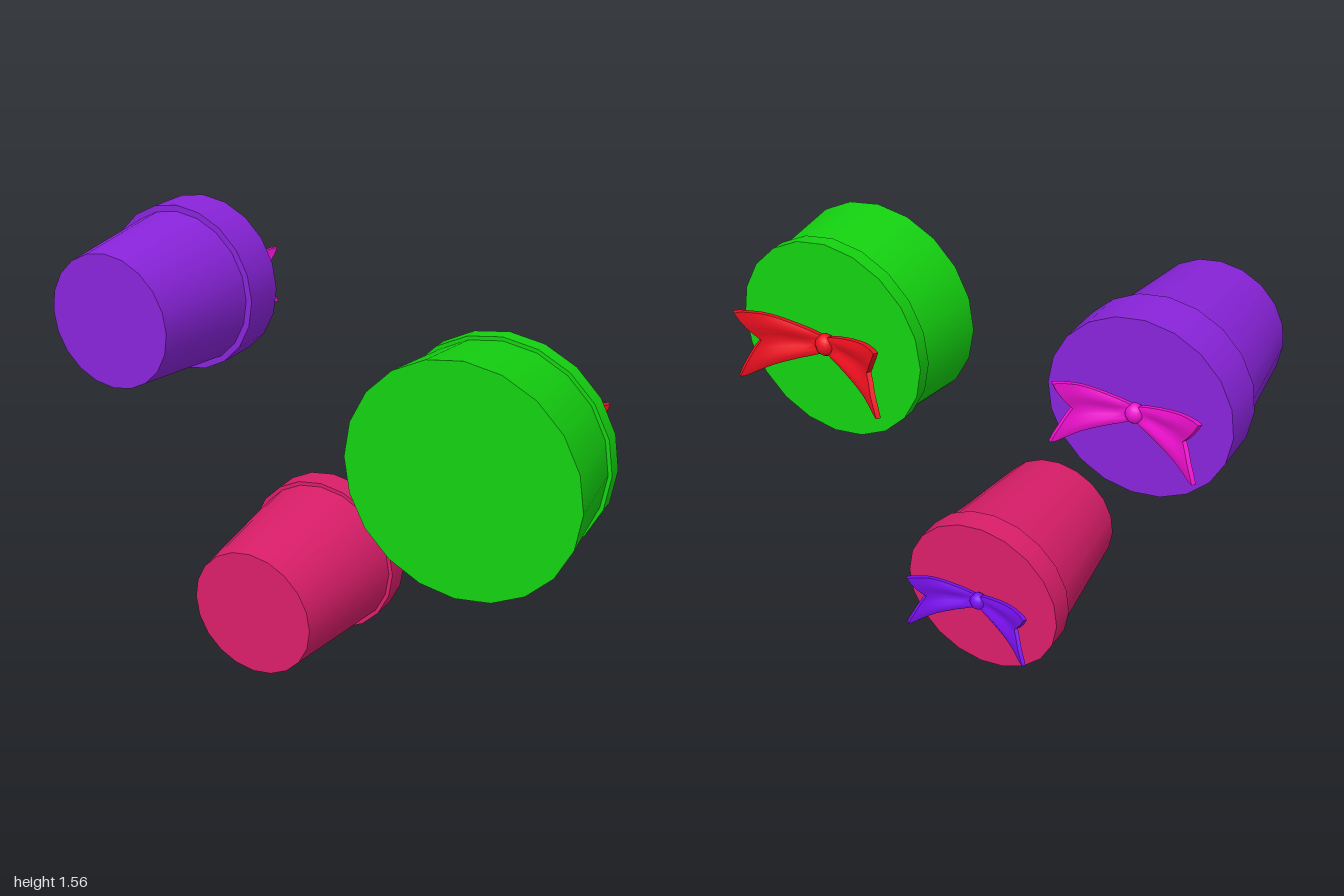
import * as THREE from 'three';
import { toCreasedNormals } from 'three/addons/utils/BufferGeometryUtils.js';

const SIDES = 20;
const FRONT = 0.355;

// One entry per box: lid spans z from back to rim, body runs from the lid to the front
const BOXES = [
  { name: 'purpleBox', x: -0.70, y: 1.27, color: 0x8a24dc, bow: 0xf010d0, bowScale: 1,
    back: -0.21, rim: -0.05, lidR: 0.3, neckR: 0.28, endR: 0.235 },
  { name: 'pinkBox', x: -0.167, y: 0.305, color: 0xdb1e6a, bow: 0x7a10f0, bowScale: 1,
    back: -0.205, rim: -0.115, lidR: 0.297, neckR: 0.285, endR: 0.232 },
  { name: 'greenBox', x: 0.595, y: 0.99, color: 0x14d210, bow: 0xf01020, bowScale: 1.28,
    back: 0.025, rim: 0.078, lidR: 0.38, neckR: 0.365, endR: 0.396 },
];

function addMesh(group, name, geometry, color) {
  const mesh = new THREE.Mesh(geometry, new THREE.MeshStandardMaterial({ color }));
  mesh.name = name;
  group.add(mesh);
  return mesh;
}

// Drum lying along z
function drum(frontR, backR, z0, z1) {
  return new THREE.CylinderGeometry(frontR, backR, z1 - z0, SIDES)
    .rotateX(Math.PI / 2)
    .translate(0, 0, (z0 + z1) / 2);
}

// Ribbon tail: a slab bent along a path, flared outward and notched at its end
function ribbonTail(path, side) {
  const geometry = new THREE.BoxGeometry(1, 2, 1, 10, 8, 1);
  const curve = new THREE.SplineCurve(path.map(([x, z]) => new THREE.Vector2(x, z)));
  const pos = geometry.attributes.position;
  for (let i = 0; i < pos.count; i++) {
    const u = pos.getX(i) + 0.5;
    const v = pos.getY(i);
    const t = u * (1 - 0.27 * (1 - Math.abs(v)));
    const p = curve.getPoint(t);
    const d = curve.getTangent(t);
    const thick = pos.getZ(i) * 0.014;
    const halfWidth = 0.018 + 0.084 * Math.pow(Math.min(1, t * 1.1), 0.85);
    const fold = 0.007 * Math.cos(v * Math.PI * 1.5) * Math.sin(t * Math.PI);
    const out = thick + fold;
    // Turning about z keeps the faces outward on the opposite side
    pos.setXYZ(i, side * (p.x - d.y * out), side * v * halfWidth, p.y + d.x * out);
  }
  return toCreasedNormals(geometry, 0.7);
}

function createBow(color) {
  const bow = new THREE.Group();
  bow.name = 'bow';
  const knot = addMesh(bow, 'knot', new THREE.SphereGeometry(0.03, 12, 8), color);
  knot.scale.set(1, 1.1, 0.9);
  knot.position.z = -0.022;
  addMesh(bow, 'leftTail',
    ribbonTail([[0, -0.018], [0.08, -0.044], [0.155, -0.082], [0.212, -0.146]], 1), color);
  addMesh(bow, 'rightTail',
    ribbonTail([[0, -0.018], [0.08, -0.04], [0.165, -0.075], [0.243, -0.128]], -1), color);
  return bow;
}

export function createModel() {
  const model = new THREE.Group();
  model.name = 'giftBoxes';
  for (const b of BOXES) {
    const box = new THREE.Group();
    box.name = b.name;
    box.position.set(b.x, b.y, 0);
    addMesh(box, 'body', drum(b.endR, b.neckR, b.rim - 0.02, FRONT), b.color);
    addMesh(box, 'lid', drum(b.lidR, b.lidR, b.back, b.rim), b.color);
    const bow = createBow(b.bow);
    bow.position.z = b.back;
    bow.scale.setScalar(b.bowScale);
    box.add(bow);
    model.add(box);
  }
  return model;
}
